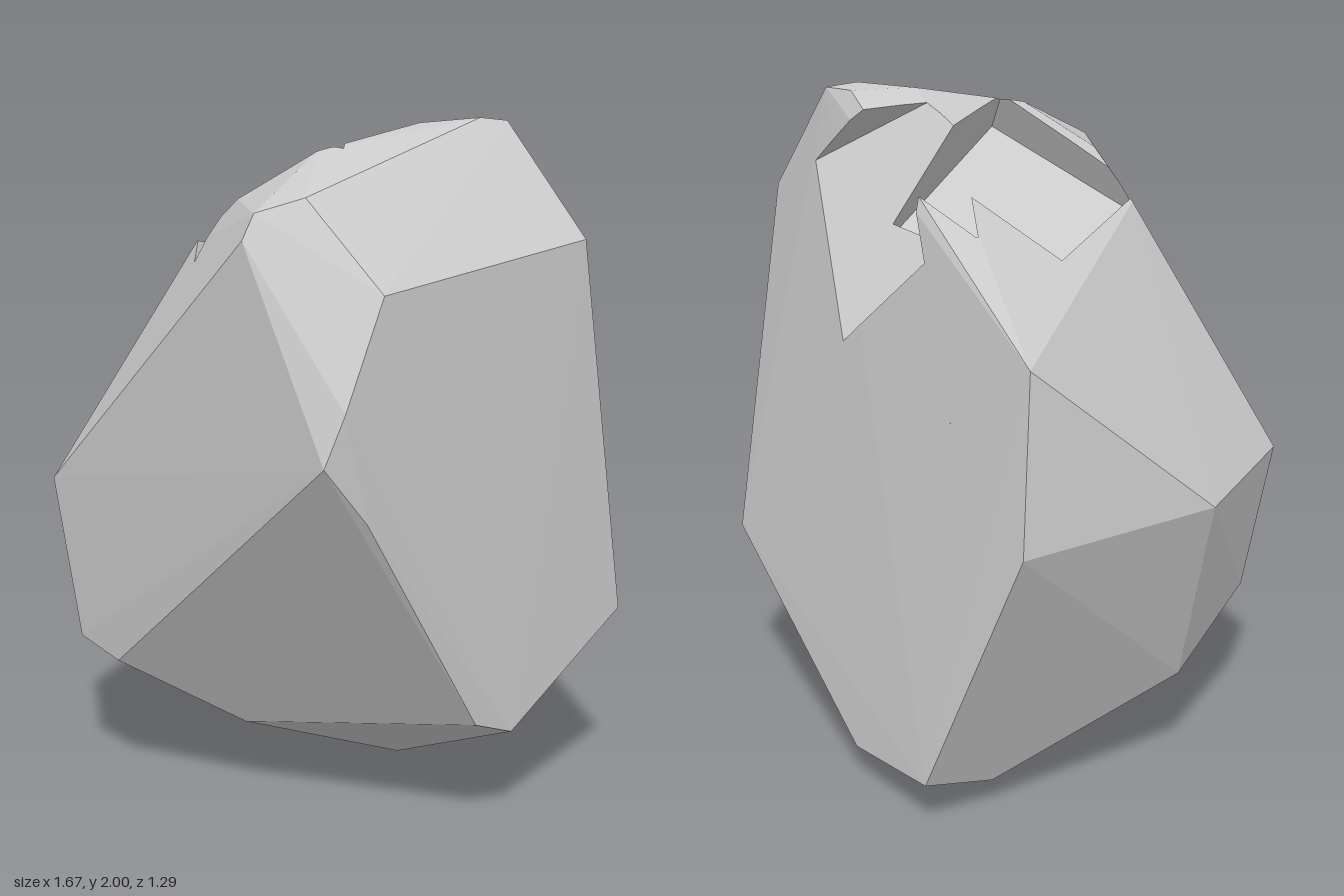
import * as THREE from 'three';
import { ConvexGeometry } from 'three/addons/geometries/ConvexGeometry.js';

const V = (x, y, z) => new THREE.Vector3(x, y, z);

// Split a convex polygon by a plane into [behind, in front]
function split(poly, plane) {
  const back = [], front = [];
  poly.forEach((p, i) => {
    const q = poly[(i + 1) % poly.length];
    const dp = plane.distanceToPoint(p), dq = plane.distanceToPoint(q);
    (dp > 0 ? front : back).push(p);
    if ((dp > 0) !== (dq > 0)) {
      const m = p.clone().lerp(q, dp / (dp - dq));
      back.push(m);
      front.push(m);
    }
  });
  return [back, front];
}

// Part of a polygon inside a convex solid
const keepInside = (poly, planes) => planes.reduce((p, pl) => (p.length ? split(p, pl)[0] : p), poly);

// Pieces of a polygon outside a convex solid
function keepOutside(poly, planes) {
  const pieces = [];
  let rest = poly;
  for (const pl of planes) {
    if (rest.length < 3) break;
    const [back, front] = split(rest, pl);
    if (front.length > 2) pieces.push(front);
    rest = back;
  }
  return pieces;
}

// Box-shaped cut from a corner, two directions and three lengths; its faces look inwards
function makeCut(corner, dirX, dirY, lengths) {
  const x = dirX.clone().normalize();
  const z = x.clone().cross(dirY).normalize();
  const axes = [x, z.clone().cross(x), z];
  const faces = [], planes = [];
  axes.forEach((n, i) => {
    const j = (i + 1) % 3, k = (i + 2) % 3;
    const u = axes[j].clone().multiplyScalar(lengths[j]);
    const v = axes[k].clone().multiplyScalar(lengths[k]);
    for (const side of [0, 1]) {
      const o = corner.clone().addScaledVector(n, side * lengths[i]);
      const quad = [o, o.clone().add(u), o.clone().add(u).add(v), o.clone().add(v)];
      faces.push(side ? quad.reverse() : quad);
      const outward = n.clone().multiplyScalar(side ? 1 : -1);
      planes.push(new THREE.Plane().setFromNormalAndCoplanarPoint(outward, o));
    }
  });
  return { faces, planes };
}

export function createModel() {
  // Corners of the uncut boulder
  const corners = [
    // left side
    V(-0.78, 1.38, -0.46), V(-0.84, 0.89, -0.52), V(-0.77, 0.89, 0.17), V(-0.57, 0.3, 0.21),
    // front
    V(-0.46, 0.91, 0.645), V(-0.35, 0.43, 0.625), V(-0.17, 0.39, 0.61), V(0.12, 0.22, 0.35),
    V(0.48, 1.7, 0.62), V(0.48, 1.77, 0.58), V(0.56, 1.81, 0.47),
    // right side
    V(0.81, 1.57, 0.41), V(0.835, 1.28, 0.56), V(0.81, 1.14, 0.61), V(0.83, 0.98, 0.48),
    V(0.8, 0.33, 0.05), V(0.8, 0.28, -0.09), V(0.71, 1.66, -0.44), V(0.73, 0.54, -0.605),
    // underside
    V(0.15, 0, -0.23), V(-0.12, 0.1, -0.645), V(-0.52, 0.14, -0.64), V(-0.49, 0.08, -0.4),
    // top
    V(0.4, 1.99, -0.42), V(0.39, 2, -0.32), V(0.28, 1.99, -0.4), V(0.28, 1.985, -0.18),
    V(0.15, 1.92, -0.2), V(0.3, 1.915, 0.22), V(0.14, 1.78, 0.38), V(-0.08, 1.64, 0.37),
  ];
  const pos = new ConvexGeometry(corners).attributes.position;
  const hullFaces = [], hullPlanes = [];
  for (let i = 0; i < pos.count; i += 3) {
    const tri = [0, 1, 2].map((k) => V().fromBufferAttribute(pos, i + k));
    hullFaces.push(tri);
    hullPlanes.push(new THREE.Plane().setFromCoplanarPoints(...tri));
  }

  // Two slanted notches broken out of the crown
  const backCut = makeCut(V(-0.16, 1.53, -0.12), V(0.57, -0.46, -0.68), V(-0.56, 0.38, -0.74), [1, 0.3, 0.556]);
  const topCut = makeCut(V(-0.15, 1.3, -0.03), V(0.2, 0.28, 0.49), V(0.34, 0.22, -0.33), [0.6, 0.525, 1]);

  const polys = [];
  for (const face of hullFaces)
    for (const piece of keepOutside(face, backCut.planes)) polys.push(...keepOutside(piece, topCut.planes));
  for (const [cut, other] of [[backCut, topCut], [topCut, backCut]])
    for (const face of cut.faces) polys.push(...keepOutside(keepInside(face, hullPlanes), other.planes));

  // Fan each polygon into triangles
  const points = [];
  for (const p of polys)
    for (let i = 1; i < p.length - 1; i++) points.push(p[0], p[i], p[i + 1]);
  const geometry = new THREE.BufferGeometry().setFromPoints(points);
  geometry.computeVertexNormals();

  const rock = new THREE.Mesh(geometry, new THREE.MeshStandardMaterial({ color: 0xcccccc, flatShading: true }));
  rock.name = 'notchedBoulder';
  const group = new THREE.Group();
  group.name = 'rock';
  group.add(rock);
  return group;
}
